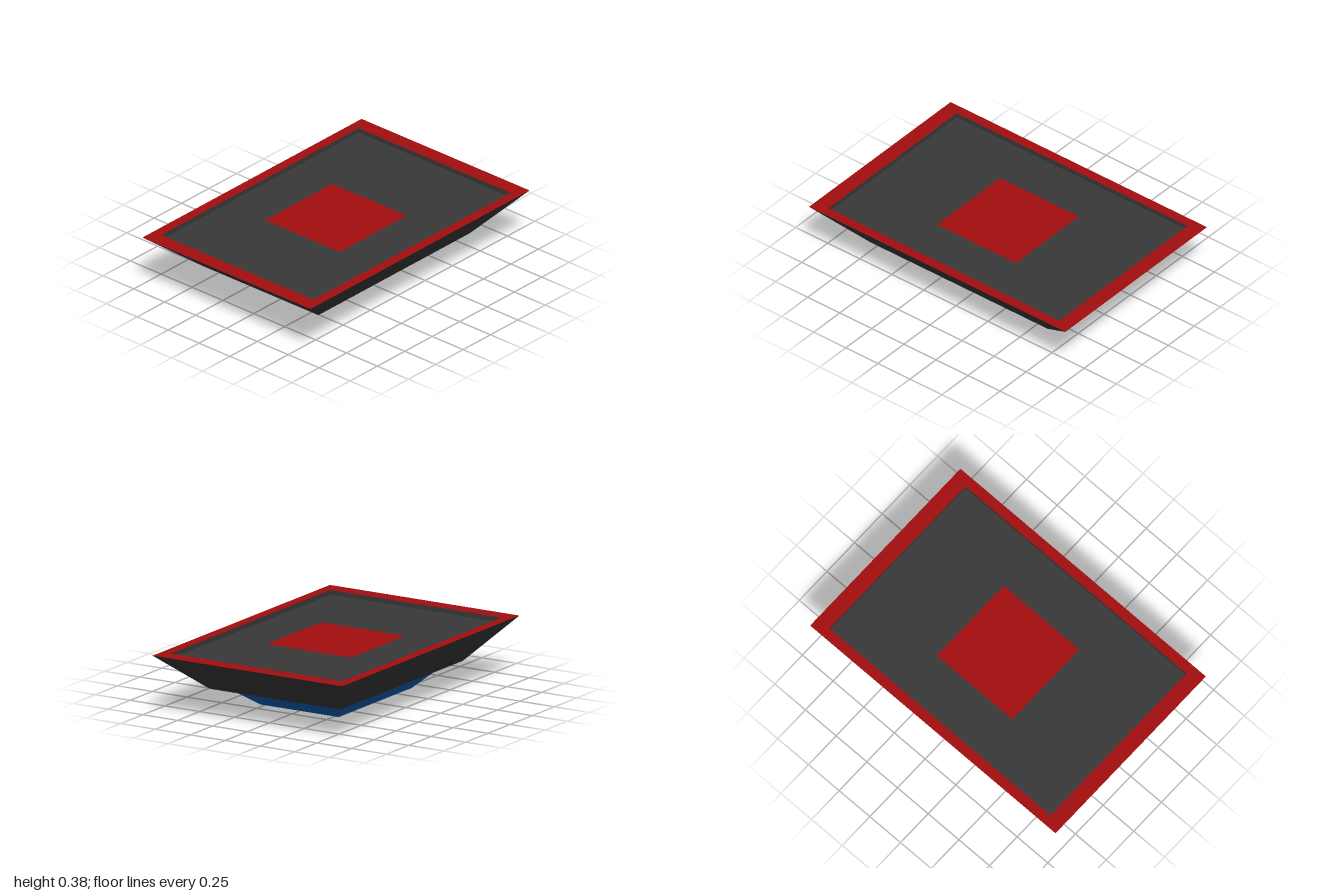
import * as THREE from 'three';

// Flat-sided surface through rectangular rings [halfWidth, y, halfDepth],
// listed from the base up the outside, over the rim and down the inside.
function loft(rings) {
  const corners = ([x, y, z]) => [[x, y, z], [x, y, -z], [-x, y, -z], [-x, y, z]];
  const pos = [];
  for (let r = 0; r < rings.length - 1; r++) {
    const a = corners(rings[r]), b = corners(rings[r + 1]);
    for (let i = 0; i < 4; i++) {
      const j = (i + 1) % 4;
      pos.push(...a[i], ...a[j], ...b[j], ...a[i], ...b[j], ...b[i]);
    }
  }
  const g = new THREE.BufferGeometry();
  g.setAttribute('position', new THREE.Float32BufferAttribute(pos, 3));
  g.computeVertexNormals();
  return g;
}

// Horizontal rectangle facing up or down
function panel(halfX, y, halfZ, up = true) {
  return new THREE.PlaneGeometry(2 * halfX, 2 * halfZ)
    .rotateX(up ? -Math.PI / 2 : Math.PI / 2)
    .translate(0, y, 0);
}

export function createModel() {
  const group = new THREE.Group();
  const paint = (name, color) => {
    const m = new THREE.MeshStandardMaterial({ color });
    m.name = name;
    return m;
  };
  const black = paint('charcoal', 0x383838);
  const red = paint('red', 0xa30e0e);
  const blue = paint('blue', 0x0c60b4);
  const add = (name, geometry, material) => {
    const mesh = new THREE.Mesh(geometry, material);
    mesh.name = name;
    group.add(mesh);
  };

  const base = [0.28, 0, 0.41], neck = [0.4, 0.12, 0.58], shoulder = [0.47, 0.135, 0.69];
  const rimOuter = [0.68, 0.38, 1], rimInner = [0.615, 0.38, 0.9], floor = [0.615, 0.35, 0.9];

  // Blue foot
  add('footSides', loft([base, neck]), blue);
  add('footBottom', panel(...base, false), blue);

  // Dark body with its shallow tray
  add('bodySides', loft([neck, shoulder, rimOuter]), black);
  add('trayWalls', loft([rimInner, floor]), black);
  add('trayFloor', panel(...floor), black);

  // Red rim and centre square
  add('rim', loft([rimOuter, rimInner]), red);
  add('centreSquare', panel(0.303, 0.353, 0.307), red);

  return group;
}
